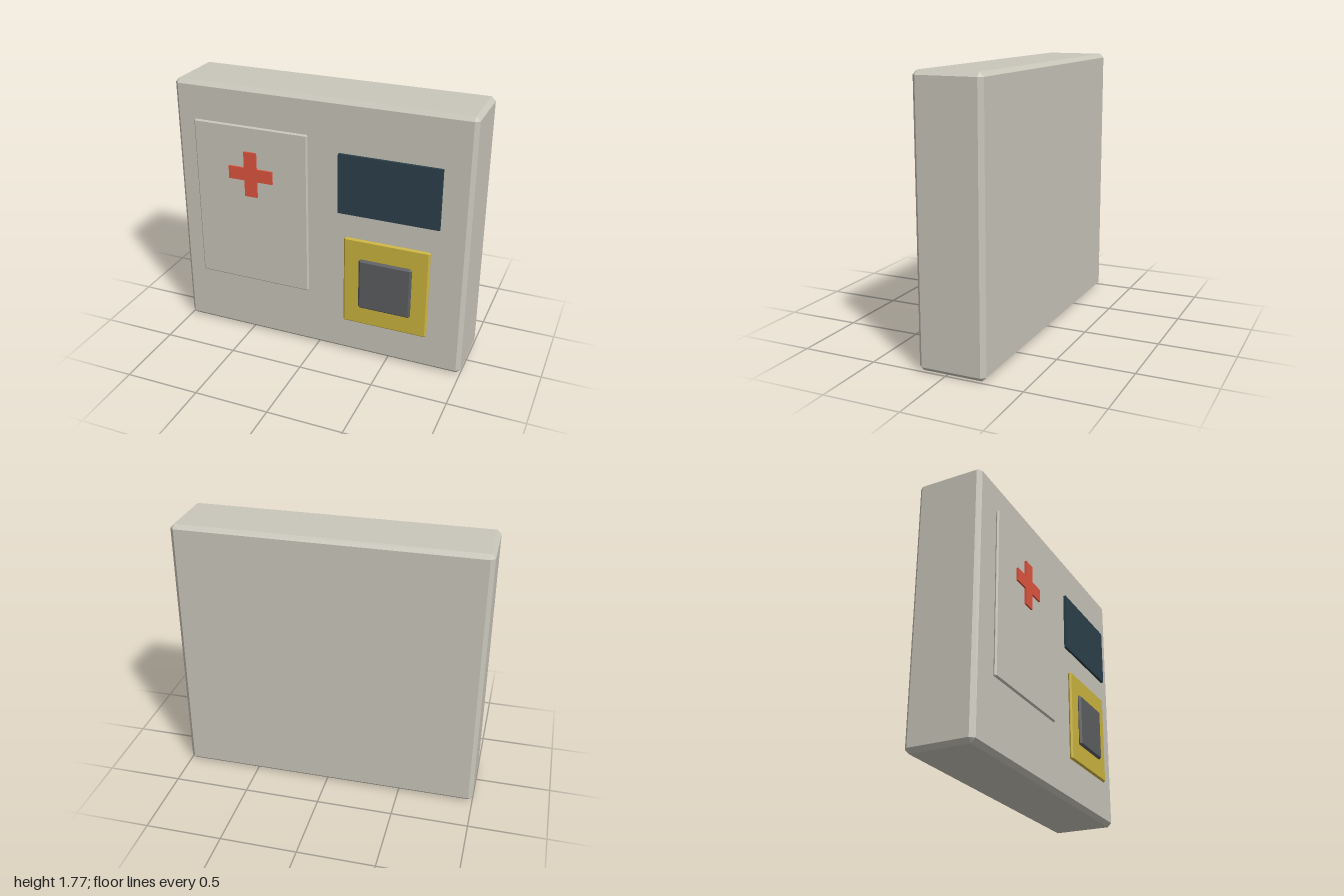
import * as THREE from 'three';
import { ConvexGeometry } from 'three/addons/geometries/ConvexGeometry.js';

// Box between two corners with every edge cut at 45 degrees by c
function chamferedBox([x0, y0, z0], [x1, y1, z1], c) {
  const half = [(x1 - x0) / 2, (y1 - y0) / 2, (z1 - z0) / 2];
  const points = [];
  for (const sx of [-1, 1]) for (const sy of [-1, 1]) for (const sz of [-1, 1]) {
    for (let axis = 0; axis < 3; axis++) {
      // one point per face meeting at this corner
      const p = half.map((h, i) => (i === axis ? h : h - c));
      points.push(new THREE.Vector3(sx * p[0], sy * p[1], sz * p[2]));
    }
  }
  return new ConvexGeometry(points).translate((x0 + x1) / 2, (y0 + y1) / 2, (z0 + z1) / 2);
}

// Plain box between two corners
function plainBox([x0, y0, z0], [x1, y1, z1]) {
  return new THREE.BoxGeometry(x1 - x0, y1 - y0, z1 - z0)
    .translate((x0 + x1) / 2, (y0 + y1) / 2, (z0 + z1) / 2);
}

// Plus-shaped plate with arm length r and half arm width w
function crossPlate(r, w, depth) {
  const outline = [];
  for (let i = 0; i < 4; i++) {
    for (const [x, y] of [[r, -w], [r, w], [w, w]]) {
      outline.push(new THREE.Vector2(x, y).rotateAround(new THREE.Vector2(), i * Math.PI / 2));
    }
  }
  return new THREE.ExtrudeGeometry(new THREE.Shape(outline), { depth, bevelEnabled: false });
}

export function createModel() {
  const group = new THREE.Group();
  group.name = 'wallCabinet';

  const add = (name, geometry, color) => {
    const mesh = new THREE.Mesh(geometry, new THREE.MeshStandardMaterial({ color, flatShading: true }));
    mesh.name = name;
    group.add(mesh);
  };

  // Housing
  add('housing', chamferedBox([-1, 0, -0.255], [1, 1.775, 0.187], 0.027), 0xc9c6ba);

  // Door with its red cross, set just in front of the housing
  add('door', chamferedBox([-0.845, 0.425, 0.211], [-0.05, 1.535, 0.232], 0.009), 0xc9c6ba);
  add('cross', crossPlate(0.155, 0.044, 0.014).translate(-0.446, 1.21, 0.229), 0xe05540);

  // Display
  add('screen', plainBox([0.155, 1.045, 0.211], [0.82, 1.445, 0.229]), 0x2d414b);

  // Yellow plate with dark button
  add('buttonPlate', chamferedBox([0.2, 0.262, 0.211], [0.772, 0.883, 0.235], 0.01), 0xcdb53f);
  add('button', chamferedBox([0.308, 0.392, 0.226], [0.663, 0.75, 0.255], 0.013), 0x5c5e61);

  return group;
}
